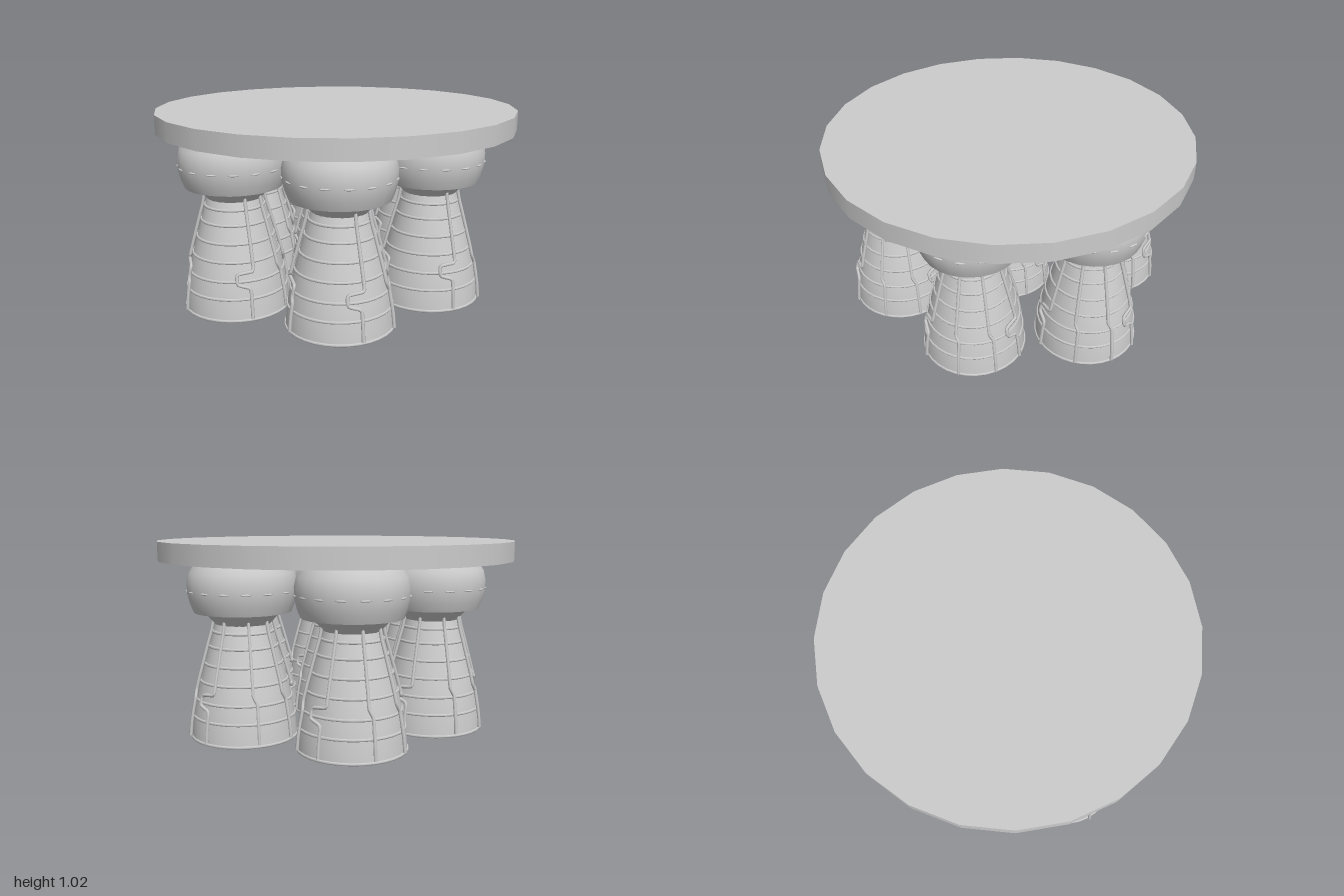
import * as THREE from 'three';
import { toCreasedNormals } from 'three/addons/utils/BufferGeometryUtils.js';

const material = new THREE.MeshStandardMaterial({ color: 0xcccccc });
const rad = THREE.MathUtils.degToRad;

// Nozzle wall as [radius, height], bottom to top
const wall = [[0.278, 0.012], [0.27, 0.1], [0.252, 0.2], [0.229, 0.3], [0.201, 0.4], [0.17, 0.51], [0.142, 0.605]];

function wallRadius(y) {
  for (let i = 1; i < wall.length; i++) {
    const [r0, y0] = wall[i - 1], [r1, y1] = wall[i];
    if (y <= y1) return r0 + (r1 - r0) * (y - y0) / (y1 - y0);
  }
  return wall[wall.length - 1][0];
}

function lathe(points, segments) {
  const g = new THREE.LatheGeometry(points.map(p => new THREE.Vector2(...p)), segments);
  return toCreasedNormals(g, rad(35));
}

// Pipe following the nozzle wall; stops are [angle in degrees from +z, height]
function pipe(stops) {
  const points = [];
  stops.forEach(([a, y], i) => {
    const next = stops[i + 1] ?? [a, y];
    const n = Math.max(1, Math.ceil(Math.abs(next[1] - y) / 0.07));
    for (let k = 0; k < (stops[i + 1] ? n : 1); k++) {
      const t = k / n, h = y + (next[1] - y) * t, ang = rad(a + (next[0] - a) * t);
      const r = wallRadius(h) + 0.013;
      points.push(new THREE.Vector3(r * Math.sin(ang), h, r * Math.cos(ang)));
    }
  });
  const curve = new THREE.CatmullRomCurve3(points, false, 'catmullrom', 0.25);
  return new THREE.TubeGeometry(curve, 56, 0.009, 6);
}

const loopPipe = (top, side, end) =>
  pipe([[top, 0.625], [top, 0.275], [top - 2, 0.26], [side, 0.25], [side, 0.2], [end - 2, 0.18], [end, 0.165], [end, 0.02]]);
const plainPipe = a => pipe([[a, 0.625], [a, 0.26], [a + 4, 0.22], [a + 4, 0.02]]);

function buildEngineParts() {
  const parts = [];
  const add = (name, geometry, y = 0) => parts.push({ name, geometry, y });

  // Closed nozzle with rolled exit lip
  add('nozzle', lathe([[0, 0.012], ...wall, [0, 0.605]], 32));
  add('nozzleLip', new THREE.TorusGeometry(0.278, 0.008, 6, 32).rotateX(Math.PI / 2), 0.008);

  // Stiffening hoops
  for (const y of [0.12, 0.21, 0.305, 0.395, 0.485, 0.56]) {
    add('hoop', new THREE.TorusGeometry(wallRadius(y), 0.008, 6, 32).rotateX(Math.PI / 2), y);
  }

  // Coolant pipes
  const pipes = [loopPipe(53, 34, 48), loopPipe(173, 154, 168), loopPipe(-60, -36, -33),
    ...[90, 130, -140, -100].map(plainPipe)];
  pipes.forEach(g => add('coolantPipe', g));

  // Neck and rounded engine housing
  add('neck', lathe([[0, 0.595], [0.14, 0.595], [0.205, 0.665], [0, 0.675]], 24));
  add('housing', lathe([[0, 0.662], [0.255, 0.662], [0.272, 0.705], [0.285, 0.76], [0.286, 0.815],
    [0.275, 0.865], [0.243, 0.915], [0.23, 0.93], [0, 0.93]], 24));

  // Narrow slots around the housing
  for (let i = 0; i < 16; i++) {
    const g = new THREE.SphereGeometry(1, 8, 6).scale(0.028, 0.005, 0.006);
    g.translate(0, 0, 0.284).rotateY((i + 0.5) * Math.PI / 8);
    add('housingSlot', g, 0.772);
  }
  return parts;
}

export function createModel() {
  const model = new THREE.Group();

  // Mounting plate
  const plate = new THREE.Mesh(new THREE.CylinderGeometry(1, 1, 0.104, 24), material);
  plate.name = 'mountingPlate';
  plate.position.y = 0.968;
  model.add(plate);

  // Ring of six engines and a smaller raised one in the middle: [x, z, scale, base height]
  const parts = buildEngineParts();
  const layout = [
    [-0.32, 0.57, 1, 0], [0.295, 0.57, 1, 0], [-0.32, -0.553, 1, 0], [0.295, -0.553, 1, 0],
    [-0.567, 0.008, 1, 0], [0.57, 0.008, 1, 0], [-0.012, 0.008, 0.9, 0.03],
  ];
  layout.forEach(([x, z, s, y], i) => {
    const engine = new THREE.Group();
    engine.name = i === 6 ? 'centreEngine' : 'outerEngine';
    for (const part of parts) {
      const mesh = new THREE.Mesh(part.geometry, material);
      mesh.name = part.name;
      mesh.position.y = part.y;
      engine.add(mesh);
    }
    engine.position.set(x, y, z);
    engine.scale.setScalar(s);
    model.add(engine);
  });

  return model;
}
